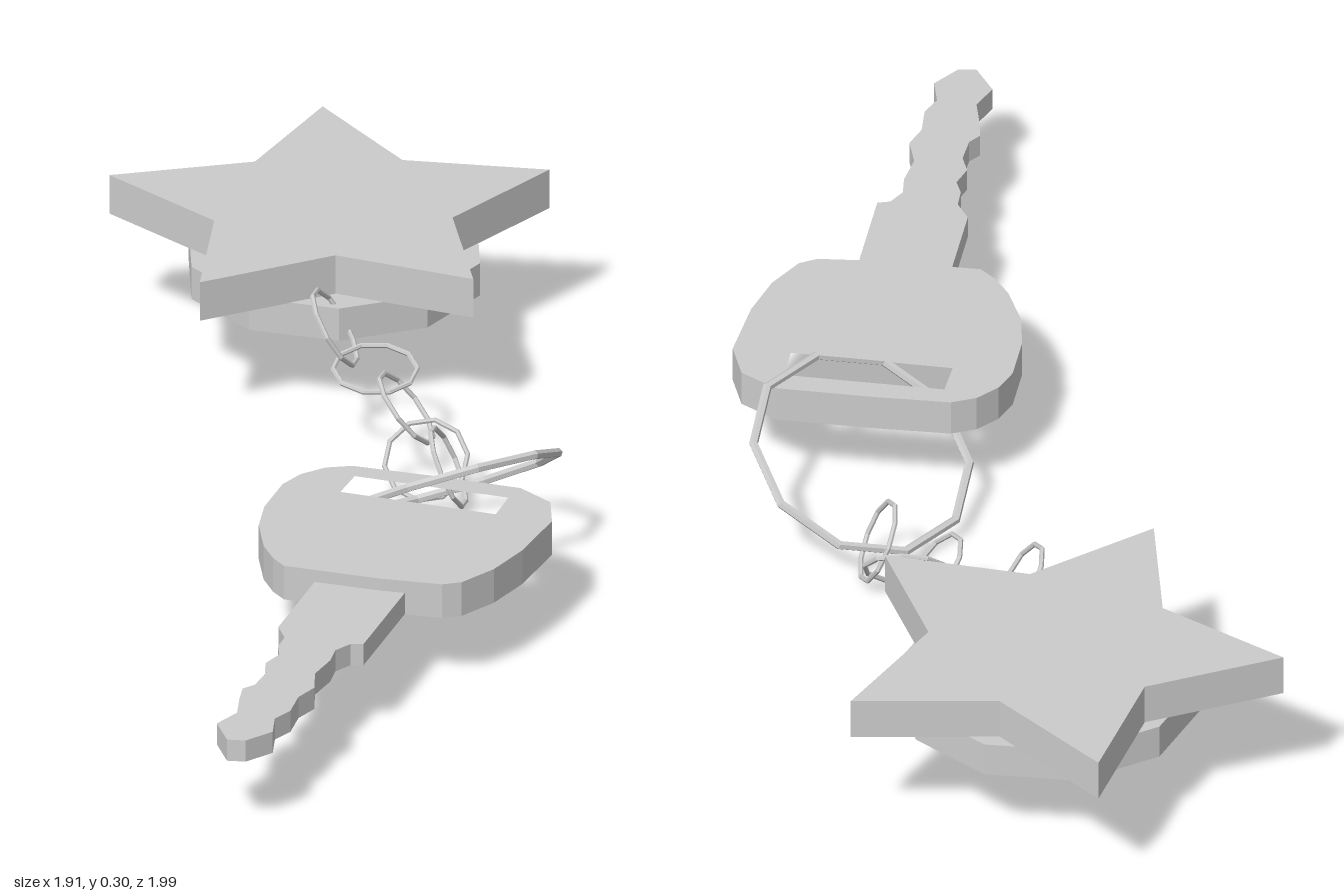
import * as THREE from 'three';

const material = new THREE.MeshStandardMaterial({ color: 0xcccccc, flatShading: true });

function addMesh(group, name, geometry) {
  const mesh = new THREE.Mesh(geometry, material);
  mesh.name = name;
  group.add(mesh);
  return mesh;
}

// Flat plate: an outline of [x, z] points raised from bottom to top
function plate(outline, bottom, top, hole) {
  const toPoints = (list) => list.map(([x, z]) => new THREE.Vector2(x, -z));
  const shape = new THREE.Shape(toPoints(outline));
  if (hole) shape.holes.push(new THREE.Path(toPoints(hole)));
  const geometry = new THREE.ExtrudeGeometry(shape, { depth: top - bottom, bevelEnabled: false });
  return geometry.rotateX(-Math.PI / 2).translate(0, bottom, 0);
}

// Ten-sided wire ring whose axis points along the given normal
function addRing(group, name, center, normal, radius, wire) {
  const geometry = new THREE.TorusGeometry(radius, wire, 6, 10).rotateX(Math.PI / 2);
  const ring = addMesh(group, name, geometry);
  ring.position.set(...center);
  ring.quaternion.setFromUnitVectors(new THREE.Vector3(0, 1, 0), new THREE.Vector3(...normal).normalize());
  return ring;
}

export function createModel() {
  const model = new THREE.Group();
  model.name = 'keychain';

  // Key: rounded head with a slot, thinner toothed blade
  const key = new THREE.Group();
  key.name = 'key';
  model.add(key);
  const head = [
    [-0.42, 0.41], [-0.40, 0.355], [-0.35, 0.275], [-0.29, 0.215], [-0.20, 0.155], [-0.145, 0.14],
    [-0.09, 0.145], [-0.045, 0.17], [0.045, 0.295], [0.145, 0.445], [0.15, 0.53], [0.10, 0.60],
    [-0.025, 0.67], [-0.12, 0.705], [-0.205, 0.715], [-0.24, 0.70], [-0.315, 0.61], [-0.425, 0.45],
  ];
  const slot = [[-0.135, 0.25], [-0.07, 0.21], [0.10, 0.465], [0.035, 0.51]];
  addMesh(key, 'keyHead', plate(head, 0.145, 0.215, slot));

  const blade = [
    [-0.375, 0.49], [-0.57, 0.62], [-0.59, 0.665], [-0.625, 0.69], [-0.645, 0.72], [-0.69, 0.735],
    [-0.715, 0.77], [-0.765, 0.80], [-0.795, 0.80], [-0.83, 0.835], [-0.87, 0.88], [-0.93, 0.895],
    [-0.96, 0.965], [-0.935, 0.99], [-0.87, 0.99], [-0.83, 0.945], [-0.785, 0.935], [-0.735, 0.895],
    [-0.685, 0.88], [-0.645, 0.83], [-0.585, 0.80], [-0.55, 0.77], [-0.51, 0.765], [-0.49, 0.78],
    [-0.28, 0.64],
  ];
  addMesh(key, 'keyBlade', plate(blade, 0.146, 0.19));

  // Tilted ring through the key slot
  addRing(model, 'keyRing', [0.13, 0.153, 0.237], [0.08, 1, -0.62], 0.218, 0.009);

  // Chain: link centre and axis
  const chain = new THREE.Group();
  chain.name = 'chain';
  model.add(chain);
  const links = [
    [[0.262, 0.09, 0.07], [0.68, 0.41, 0.6]],
    [[0.275, 0.07, -0.015], [-0.58, 0.63, 0.5]],
    [[0.31, 0.13, -0.122], [0.58, 0.63, 0.5]],
    [[0.333, 0.16, -0.247], [-0.1, 0.95, 0.15]],
    [[0.32, 0.21, -0.355], [0.6, 0.5, 0.55]],
  ];
  links.forEach(([center, normal], i) => addRing(chain, `chainLink${i + 1}`, center, normal, 0.08, 0.005));

  // Pendant: ten-sided base disc with a star on top
  const pendant = new THREE.Group();
  pendant.name = 'pendant';
  model.add(pendant);
  const disc = addMesh(pendant, 'pendantDisc', new THREE.CylinderGeometry(0.287, 0.287, 0.067, 10));
  disc.position.set(0.527, 0.192, -0.624);

  const star = [
    [0.535, -0.205], [0.675, -0.45], [0.953, -0.51], [0.76, -0.715], [0.79, -1.0],
    [0.535, -0.88], [0.28, -1.0], [0.31, -0.715], [0.117, -0.51], [0.395, -0.45],
  ];
  addMesh(pendant, 'pendantStar', plate(star, 0.225, 0.305));

  return model;
}
